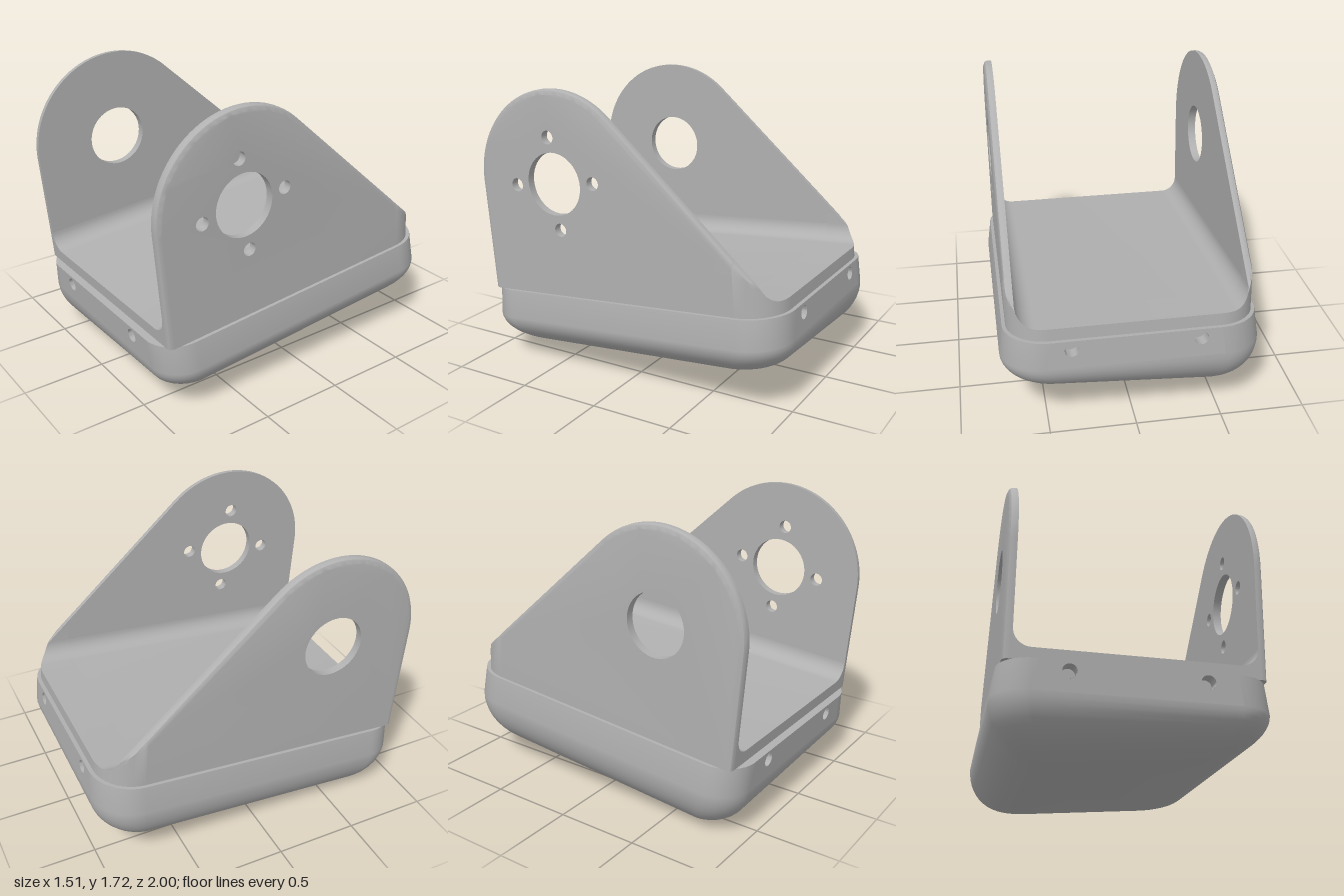
import * as THREE from 'three';
import { toCreasedNormals } from 'three/addons/utils/BufferGeometryUtils.js';

const grey = new THREE.MeshStandardMaterial({ color: 0xb0b0b0, side: THREE.DoubleSide });
grey.name = 'plain grey';

const PIVOT = { z: 0.395, y: 0.683, r: 0.55 };   // centre of the rounded ear
const WALL_IN = 0.66, WALL_OUT = 0.71, FLOOR = 0.073, FILLET = 0.1;
const FRONT = 0.945, CORNER_Z = -0.735, CORNER_R = 0.23;
const slopeHeight = z => 1.065 + 1.032 * z;      // sloping rear edge of the ears

function mesh(name, geometry) {
  const m = new THREE.Mesh(geometry, grey);
  m.name = name;
  return m;
}

function surface(points, index, crease) {
  const g = new THREE.BufferGeometry();
  g.setAttribute('position', new THREE.Float32BufferAttribute(points, 3));
  g.setIndex(index);
  return toCreasedNormals(g, crease);
}

// ---- base: rounded-rectangle rings, vertical wall then a soft curve to a skewed bottom
const STEPS = 12, RF = 0.2, RB = 0.25, HZ = 0.99, WALL_DROP = 0.17;
const TOP_X = 0.73, LOW_X = 0.755;
const depthAt = x => 0.43 - 0.088 * x;

function ring(hx, hz, shrink) {
  const out = [];
  [[1, 1, RF], [1, -1, RB], [-1, -1, RB], [-1, 1, RF]].forEach(([sx, sz, r0], c) => {
    const r = r0 - shrink;
    for (let k = 0; k <= STEPS; k++) {
      const t = (c + k / STEPS) * Math.PI / 2;
      out.push([sx * (hx - r) + r * Math.sin(t), sz * (hz - r) + r * Math.cos(t)]);
    }
  });
  return out;
}

function baseGeometry() {
  const pts = [], idx = [], ROWS = 14, N = 4 * (STEPS + 1);
  const back = 2 * (STEPS + 1) - 1;
  ring(TOP_X, HZ, 0).forEach(([x, z]) => pts.push(x, 0, z));
  for (let j = 0; j <= ROWS; j++) {
    const f = j / ROWS * Math.PI / 2, inset = 1 - Math.cos(f);
    ring(LOW_X - 0.3 * inset, HZ - 0.36 * inset, 0.14 * inset).forEach(([x, z]) =>
      pts.push(x, -WALL_DROP - (depthAt(x) - WALL_DROP) * Math.sin(f), z));
  }
  for (let j = 0; j <= ROWS; j++) for (let i = 0; i < N; i++) {
    if (j === 0 && (i === N - 1 || i === back)) continue;   // filled by the drilled panels
    const n = (i + 1) % N, a = j * N + i, b = j * N + n;
    idx.push(a, a + N, b + N, a, b + N, b);
  }
  const top = pts.length / 3, low = top + 1, last = (ROWS + 1) * N;
  pts.push(0, 0, 0, 0, -depthAt(0), 0);
  for (let i = 0; i < N; i++) {
    const n = (i + 1) % N;
    idx.push(top, i, n, low, last + n, last + i);
  }
  return surface(pts, idx, 0.6);
}

// ---- flat end panel of the base with two blind screw holes
function endPanel(name, r) {
  const g = new THREE.Group();
  g.name = name;
  const a = TOP_X - r, b = LOW_X - r;
  const s = new THREE.Shape([[-b, -WALL_DROP], [b, -WALL_DROP], [a, 0], [-a, 0]]
    .map(p => new THREE.Vector2(...p)));
  for (const x of [-0.365, 0.365]) {
    s.holes.push(new THREE.Path().absarc(x, -0.056, 0.04, 0, Math.PI * 2, true));
    const cup = mesh('screwHole', toCreasedNormals(new THREE.LatheGeometry(
      [[0.04, 0], [0.04, -0.08], [0, -0.08]].map(p => new THREE.Vector2(...p)), 24), 0.6));
    cup.rotation.x = Math.PI / 2;
    cup.position.set(x, -0.056, 0);
    g.add(cup);
  }
  g.add(mesh('endFace', new THREE.ShapeGeometry(s, 24)));
  return g;
}

// ---- bracket floor: height profile across x, lofted along z
function floorLoft(zs, widthAt, heightAt) {
  const half = [];
  for (let k = 0; k <= 10; k++) half.push([WALL_IN - FILLET + FILLET * Math.sin(k / 10 * Math.PI / 2), -1]);
  half.push([WALL_IN, 0], [WALL_OUT - 0.03, 0], [WALL_OUT - 0.01, 0.01], [WALL_OUT, 0.04]);
  const profile = [...half].reverse().map(([x, d]) => [-x, d]).concat(half);
  const n = profile.length, M = 2 * n, pts = [], idx = [];
  for (const z of zs) {
    const w = widthAt(z), h = heightAt(z);
    const tops = profile.map(([px, drop]) => {
      const x = Math.min(Math.abs(px), w), e = Math.max(0, x - WALL_IN + FILLET);
      const curve = FLOOR + FILLET - Math.sqrt(Math.max(0, FILLET * FILLET - e * e));
      const y = drop >= 0 && x >= WALL_IN - 1e-6 ? Math.max(FLOOR, h - drop) : Math.min(curve, h);
      return [Math.sign(px) * x, y];
    });
    tops.forEach(([x, y]) => pts.push(x, y, z));
    [...tops].reverse().forEach(([x]) => pts.push(x, 0, z));
  }
  const quad = (a, b, c, d) => idx.push(a, b, c, a, c, d);
  for (let j = 0; j < zs.length - 1; j++) for (let i = 0; i < M; i++) {
    const a = j * M + i, d = j * M + (i + 1) % M;
    quad(a, a + M, d + M, d);
  }
  const e = (zs.length - 1) * M;
  for (let i = 0; i < n - 1; i++) {
    quad(i, i + 1, M - 2 - i, M - 1 - i);
    quad(e + i, e + M - 1 - i, e + M - 2 - i, e + i + 1);
  }
  return surface(pts, idx, 0.5);
}

// ---- upright ear plate, outer rim rounded; side +1 carries the four screw holes
function earGeometry(side) {
  const at = (z, y) => new THREE.Vector2(-side * z, y);
  const outline = [at(FRONT, 0)];
  for (let k = 0; k <= 40; k++) {
    const t = k / 40 * 2.372;
    outline.push(at(PIVOT.z + PIVOT.r * Math.cos(t), PIVOT.y + PIVOT.r * Math.sin(t)));
  }
  outline.push(at(CORNER_Z, slopeHeight(CORNER_Z)), at(CORNER_Z, 0));
  const s = new THREE.Shape(outline);
  const hole = (z, y, r) => s.holes.push(
    new THREE.Path().absarc(-side * z, y, r, 0, Math.PI * 2, true));
  hole(PIVOT.z, PIVOT.y, 0.187);
  if (side > 0) for (let k = 0; k < 4; k++) {
    const t = -0.05 + k * Math.PI / 2;
    hole(PIVOT.z + 0.275 * Math.cos(t), PIVOT.y + 0.275 * Math.sin(t), 0.04);
  }
  const g = new THREE.ExtrudeGeometry(s, { depth: WALL_OUT - WALL_IN, steps: 5, bevelEnabled: false, curveSegments: 24 });
  const p = g.attributes.position;
  for (let i = 0; i < p.count; i++) {
    const z = -side * p.getX(i), y = p.getY(i), t = (p.getZ(i) - 0.02) / 0.03;
    if (t <= 0 || Math.hypot(z - PIVOT.z, y - PIVOT.y) < 0.4) continue;
    const inset = 0.03 * (1 - Math.sqrt(Math.max(0, 1 - t * t))), f = 1 - inset / PIVOT.r;
    const atCut = z < CORNER_Z + 0.001;
    if (!atCut) p.setX(i, -side * (PIVOT.z + (z - PIVOT.z) * f));
    if (y > 0.001) p.setY(i, atCut ? y - 1.43 * inset : PIVOT.y + (y - PIVOT.y) * f);
  }
  g.rotateY(side * Math.PI / 2);
  g.translate(side * WALL_IN, 0, 0);
  return toCreasedNormals(g, 0.5);
}

export function createModel() {
  const model = new THREE.Group();
  model.name = 'tiltedBracket';
  const body = new THREE.Group();
  body.name = 'body';
  body.position.y = 0.5175;
  body.rotation.x = 0.083;
  model.add(body);

  // base
  body.add(mesh('base', baseGeometry()));
  const front = endPanel('frontPanel', RF), rear = endPanel('rearPanel', RB);
  front.position.z = HZ;
  rear.position.z = -HZ;
  rear.rotation.y = Math.PI;
  body.add(front, rear);

  // bracket floor and its rounded rear corners
  body.add(mesh('bracketFloor', floorLoft([CORNER_Z, FRONT], () => WALL_IN, () => FLOOR + FILLET)));
  const zs = [];
  for (let k = 0; k <= 20; k++) zs.push(CORNER_Z - CORNER_R * Math.cos(k / 20 * Math.PI / 2));
  const width = z => WALL_OUT - CORNER_R + Math.sqrt(Math.max(0, CORNER_R ** 2 - (z - CORNER_Z) ** 2));
  body.add(mesh('bracketRear', floorLoft(zs, width, z => Math.max(FLOOR, slopeHeight(z)))));

  // ears
  body.add(mesh('leftEar', earGeometry(1)), mesh('rightEar', earGeometry(-1)));
  return model;
}
